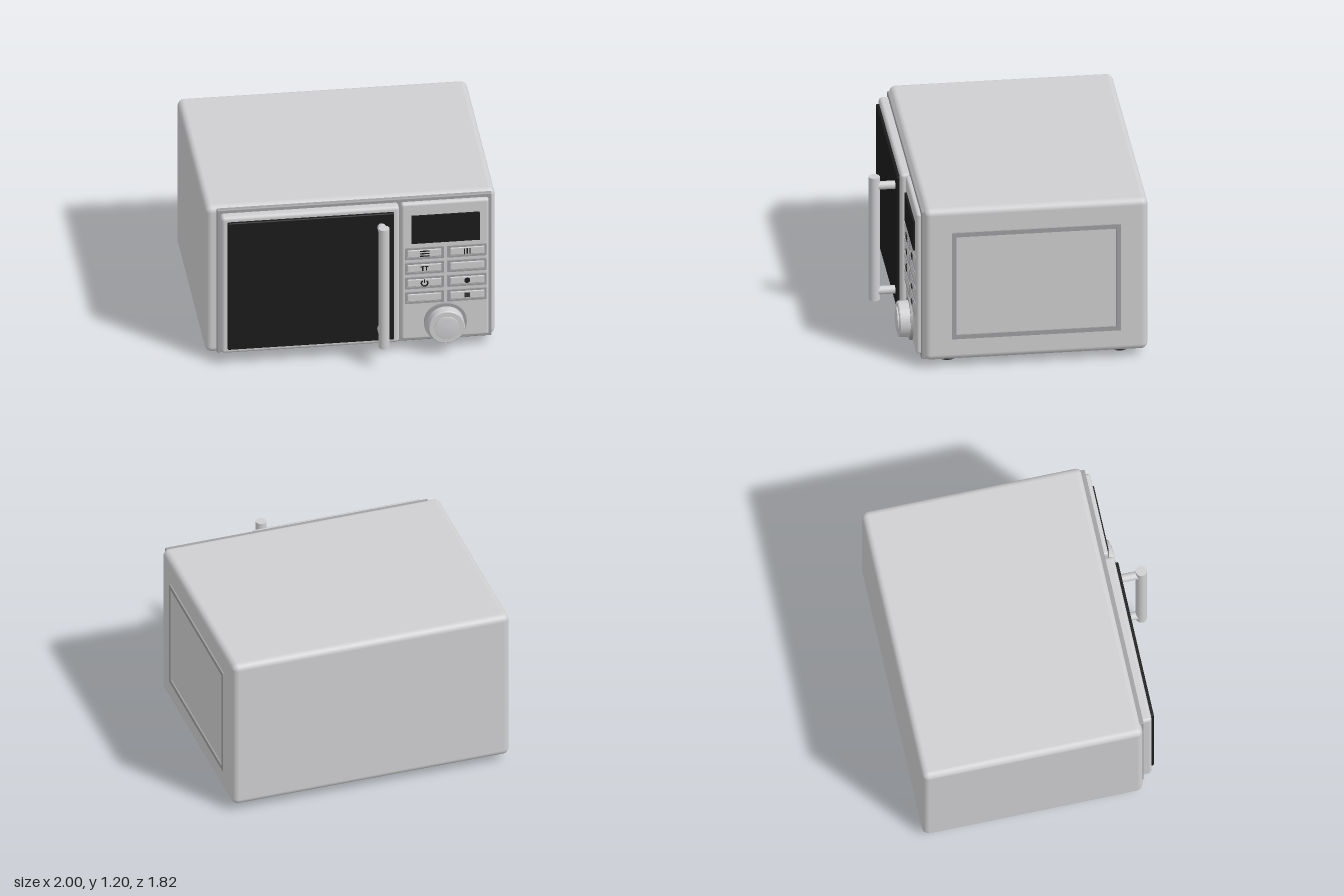
import * as THREE from 'three';
import { RoundedBoxGeometry } from 'three/addons/geometries/RoundedBoxGeometry.js';

function material(name, color, side = THREE.FrontSide) {
  const m = new THREE.MeshStandardMaterial({ color, side });
  m.name = name;
  return m;
}

export function createModel() {
  const silver = material('silver', 0xcfcfd1);
  const trim = material('trim grey', 0xa0a0a2);
  const black = material('glass black', 0x1b1b1b);
  const rubber = material('rubber', 0x343434);
  const root = new THREE.Group();
  root.name = 'microwave';

  const add = (name, geometry, mat, x = 0, y = 0, z = 0, parent = root) => {
    const mesh = new THREE.Mesh(geometry, mat);
    mesh.name = name;
    mesh.position.set(x, y, z);
    parent.add(mesh);
    return mesh;
  };
  // Box given by its limits, rounded when r > 0
  const block = (name, mat, [x0, x1], [y0, y1], [z0, z1], r = 0, parent = root) => {
    const size = [x1 - x0, y1 - y0, z1 - z0];
    const geometry = r ? new RoundedBoxGeometry(...size, 4, r) : new THREE.BoxGeometry(...size);
    return add(name, geometry, mat, (x0 + x1) / 2, (y0 + y1) / 2, (z0 + z1) / 2, parent);
  };
  // Rectangular frame in the xy plane, centred on the origin
  const frameGeometry = (w, h, border, depth) => {
    const rect = (path, a, b) => path.moveTo(-a, -b).lineTo(a, -b).lineTo(a, b).lineTo(-a, b).closePath();
    const shape = rect(new THREE.Shape(), w / 2, h / 2);
    shape.holes.push(rect(new THREE.Path(), w / 2 - border, h / 2 - border));
    return new THREE.ExtrudeGeometry(shape, { depth, bevelEnabled: false });
  };
  const disc = (r, depth, segments = 24) => new THREE.CylinderGeometry(r, r, depth, segments).rotateX(Math.PI / 2);

  // Casing, front plate and side vent frame
  block('casing', silver, [-1, 0.99], [0.053, 1.197], [-0.91, 0.627], 0.045);
  block('frontPlate', trim, [-0.925, 0.965], [0.065, 1.182], [0.6, 0.645], 0.008);
  add('sideFrame', frameGeometry(1.16, 0.805, 0.032, 0.02), trim, 0.98, 0.62, -0.142).rotation.y = Math.PI / 2;

  // Feet
  for (const x of [-0.825, 0.815]) {
    for (const z of [0.45, -0.735]) {
      add('foot', new THREE.CylinderGeometry(0.058, 0.055, 0.07, 24), rubber, x, 0.035, z);
    }
  }

  // Door with window
  const door = new THREE.Group();
  door.name = 'door';
  root.add(door);
  block('doorFrame', silver, [-0.902, 0.322], [0.088, 1.156], [0.625, 0.708], 0.025, door);
  block('doorWindow', black, [-0.86, 0.283], [0.128, 1.12], [0.69, 0.73], 0.008, door);

  // Handle bar on two posts
  const handle = new THREE.Group();
  handle.name = 'handle';
  root.add(handle);
  add('handleBar', new THREE.CylinderGeometry(0.038, 0.038, 0.93, 32), silver, 0.195, 0.625, 0.872, handle);
  for (const y of [1.02, 0.225]) add('handlePost', disc(0.029, 0.15), silver, 0.195, y, 0.795, handle);

  // Control panel with display
  const panel = new THREE.Group();
  panel.name = 'controlPanel';
  root.add(panel);
  block('panelPlate', silver, [0.338, 0.942], [0.088, 1.156], [0.625, 0.676], 0.02, panel);
  block('display', black, [0.408, 0.876], [0.847, 1.062], [0.66, 0.69], 0, panel);

  // Buttons: two columns by four rows, each in a grey surround
  const columns = [0.497, 0.79];
  const rows = [0.765, 0.65, 0.535, 0.42];
  for (const x of columns) {
    for (const y of rows) {
      add('buttonSurround', frameGeometry(0.266, 0.09, 0.014, 0.02), trim, x, y, 0.665, panel);
      add('button', new RoundedBoxGeometry(0.236, 0.06, 0.03, 3, 0.008), silver, x, y, 0.672, panel);
    }
  }

  // Button symbols
  const mark = (name, x, y, w, h, mat = black) => add(name, new THREE.BoxGeometry(w, h, 0.006), mat, x, y, 0.688, panel);
  for (const d of [-0.019, 0, 0.019]) {
    mark('barMark', columns[0], rows[0] + d, 0.065, 0.007);
    mark('barMark', columns[1] + d, rows[0], 0.007, 0.042);
  }
  for (const s of [-1, 1]) {
    mark('grillMarkTop', columns[0] + s * 0.015, rows[1] + 0.013, 0.026, 0.006);
    mark('grillMarkLeg', columns[0] + s * 0.013, rows[1] - 0.004, 0.007, 0.028);
  }
  const ring = new THREE.TorusGeometry(0.022, 0.005, 8, 24, Math.PI * 1.6).rotateZ(Math.PI * 0.7);
  add('powerRing', ring, black, columns[0], rows[2] - 0.002, 0.687, panel);
  mark('powerStroke', columns[0], rows[2] + 0.014, 0.008, 0.026);
  add('startDot', disc(0.02, 0.006), black, columns[1], rows[2], 0.688, panel);
  mark('stopSquare', columns[1], rows[3], 0.034, 0.034, rubber);

  // Dial: grey base ring, grip and raised centre
  const dial = new THREE.Group();
  dial.name = 'dial';
  dial.position.set(0.64, 0.218, 0);
  root.add(dial);
  add('dialBase', disc(0.147, 0.04, 48), trim, 0, 0, 0.672, dial);
  const lathe = (points) => new THREE.LatheGeometry(points.map(([r, z]) => new THREE.Vector2(r, z)), 48).rotateX(Math.PI / 2);
  add('dialGrip', lathe([[0.125, 0.68], [0.125, 0.76], [0.125, 0.76], [0.119, 0.767], [0.119, 0.767], [0, 0.767]]), silver, 0, 0, 0, dial);
  add('dialCentre', lathe([[0.085, 0.76], [0.085, 0.776], [0.085, 0.776], [0.06, 0.78], [0, 0.782]]), silver, 0, 0, 0, dial);

  return root;
}
